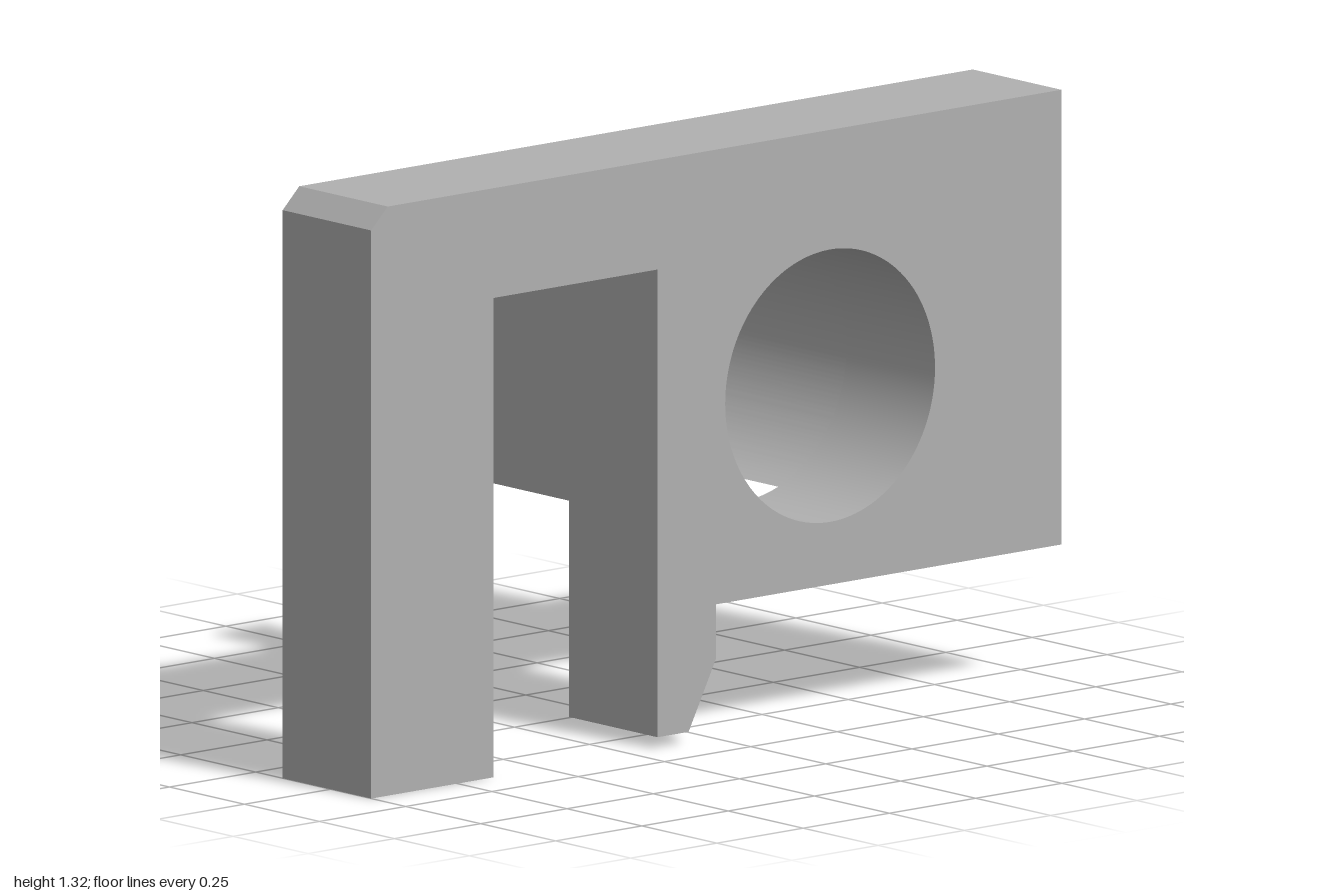
import * as THREE from 'three';
import { toCreasedNormals } from 'three/addons/utils/BufferGeometryUtils.js';

const BORE = { x: 0.33, y: 0.744, r: 0.304 };
const BACK = -0.385, MID = 0.09, FRONT = 0.385;

export function createModel() {
  const group = new THREE.Group();
  const grey = new THREE.MeshStandardMaterial({ color: 0xb0b0b0 });
  grey.name = 'plain grey';

  // Extrude a profile between two depths; shallow bends stay smooth
  function slab(name, shape, z0, z1) {
    const extruded = new THREE.ExtrudeGeometry(shape, {
      depth: z1 - z0, bevelEnabled: false, curveSegments: 64,
    });
    extruded.translate(0, 0, z0);
    const mesh = new THREE.Mesh(toCreasedNormals(extruded, 0.5), grey);
    mesh.name = name;
    group.add(mesh);
  }

  // Plate with long leg, hooked tab and round bore
  const plate = new THREE.Shape([
    [-1, 0], [-0.645, 0], [-0.645, 1.07], [-0.17, 1.07],
    [-0.17, 0.026], [-0.08, 0.026], [0, 0.18], [0, 0.3],
    [1, 0.3], [1, 1.315], [-0.952, 1.315], [-1, 1.268],
  ].map(([x, y]) => new THREE.Vector2(x, y)));
  const hole = new THREE.Path();
  hole.absarc(BORE.x, BORE.y, BORE.r, 0, Math.PI * 2, true);
  plate.holes.push(hole);
  slab('plate', plate, MID, FRONT);

  // Rear jaws: a block cut in two by the bore
  const bottom = 0.459, top = 0.988;
  function jaw(name, outerX, side) {
    const low = Math.asin((bottom - BORE.y) / BORE.r);
    const high = Math.asin((top - BORE.y) / BORE.r);
    const angle = (a) => (side > 0 ? a : Math.PI - a);
    const shape = new THREE.Shape();
    shape.moveTo(outerX, bottom);
    shape.lineTo(BORE.x + side * BORE.r * Math.cos(low), bottom);
    shape.absarc(BORE.x, BORE.y, BORE.r, angle(low), angle(high), side < 0);
    shape.lineTo(outerX, top);
    shape.closePath();
    slab(name, shape, BACK, MID);
  }
  jaw('rightJaw', -0.01, -1);
  jaw('leftJaw', 0.76, 1);

  return group;
}
